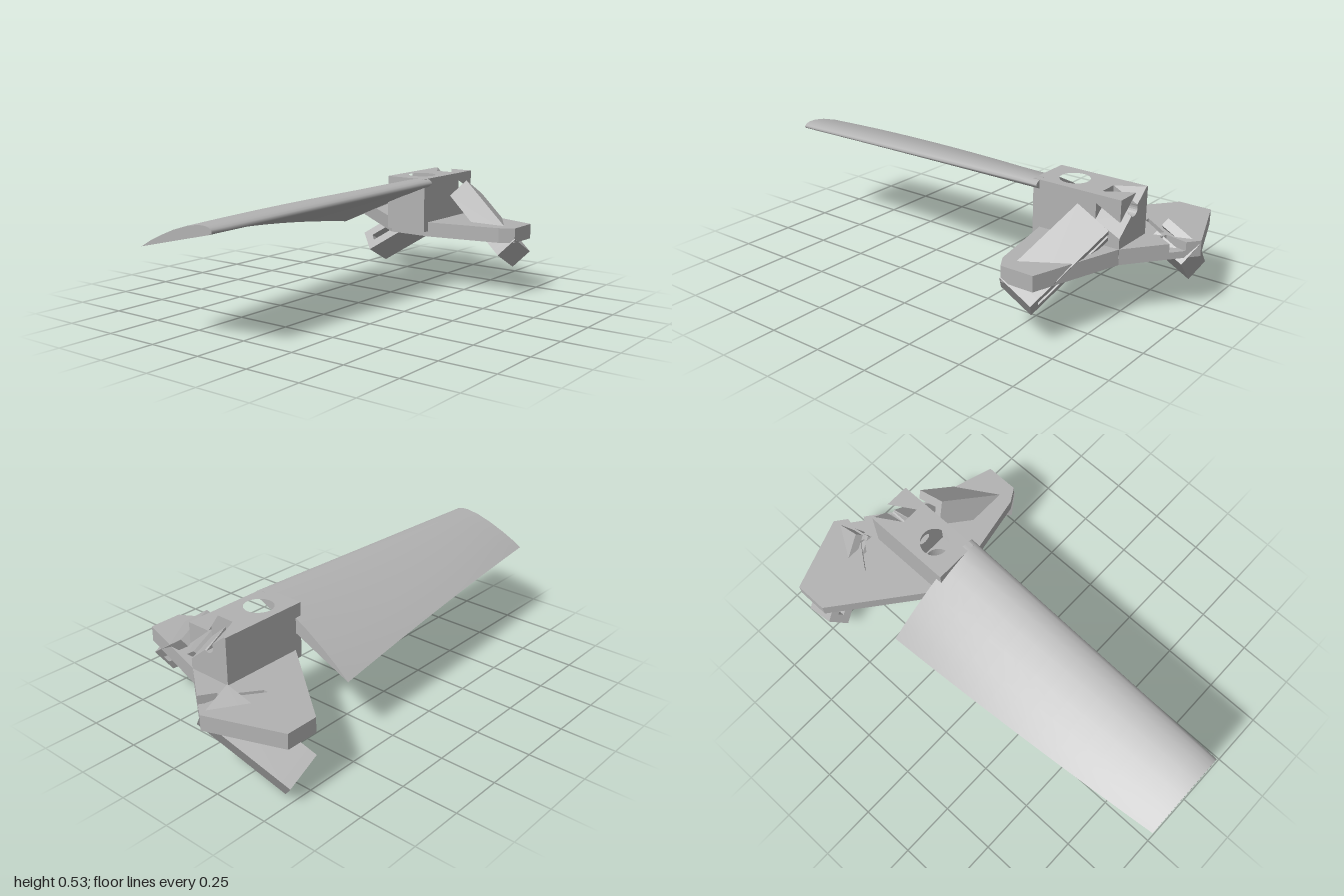
import * as THREE from 'three';

const grey = new THREE.MeshStandardMaterial({ color: 0xb2b2b2 });
grey.name = 'grey plastic';

function mesh(name, geometry) {
  const m = new THREE.Mesh(geometry, grey);
  m.name = name;
  return m;
}

const circle = (cx, cy, r) => new THREE.Path().absarc(cx, cy, r, 0, Math.PI * 2, true);
const outline = (pts) => new THREE.Shape(pts.map(([a, b]) => new THREE.Vector2(a, b)));
const extrude = (shape, depth) =>
  new THREE.ExtrudeGeometry(shape, { depth, bevelEnabled: false, curveSegments: 24 });

// Upright prism from an (x, z) outline
function extrudeY(pts, y0, y1, holes = []) {
  const shape = outline(pts.map(([x, z]) => [x, -z]));
  shape.holes.push(...holes);
  return extrude(shape, y1 - y0).rotateX(-Math.PI / 2).translate(0, y0, 0);
}

// Sideways prism from a (z, y) outline
function extrudeX(pts, x0, x1, holes = []) {
  const shape = outline(pts.map(([z, y]) => [-z, y]));
  shape.holes.push(...holes);
  return extrude(shape, x1 - x0).rotateY(Math.PI / 2).translate(x0, 0, 0);
}

// Aerofoil loop as chord fraction and height, from trailing edge over the nose and back
const foil = [
  [1, 0], [0.85, 0.04], [0.7, 0.068], [0.5, 0.095], [0.3, 0.104], [0.15, 0.09], [0.07, 0.068],
  [0.025, 0.043], [0.005, 0.02], [0, 0], [0.008, -0.013], [0.05, -0.02], [0.3, -0.01], [0.7, -0.002], [1, 0],
];

// Twisted, tapering section; t runs from the root to the tip
function bladeSection(t) {
  const ease = t * (2 - t);
  const lead = new THREE.Vector2(0.125 - 0.03 * t, 0.513 - 0.028 * t);
  const trail = new THREE.Vector2(-0.385 + 0.035 * t + 0.06 * t * t, 0.276 + 0.11 * ease);
  const chord = trail.clone().sub(lead);
  return foil.map(([u, v]) => new THREE.Vector3(
    0.4 - 1.4 * t,
    lead.y + chord.y * u - chord.x * v,
    lead.x + chord.x * u + chord.y * v,
  ));
}

function buildBlade() {
  const group = new THREE.Group();
  group.name = 'blade';
  const rows = 16, n = foil.length, points = [], index = [];
  for (let i = 0; i <= rows; i++) points.push(...bladeSection(i / rows));
  for (let i = 0; i < rows; i++) {
    for (let j = 0; j < n - 1; j++) {
      const a = i * n + j, b = a + n;
      index.push(a, b, a + 1, b, b + 1, a + 1);
    }
  }
  const skin = new THREE.BufferGeometry().setFromPoints(points);
  skin.setIndex(index);
  skin.computeVertexNormals();
  group.add(mesh('bladeSkin', skin));

  // Flat ends
  for (const t of [0, 1]) {
    const cap = new THREE.BufferGeometry().setFromPoints(bladeSection(t));
    const fan = [];
    for (let j = 1; j < n - 2; j++) fan.push(0, ...(t ? [j + 1, j] : [j, j + 1]));
    cap.setIndex(fan);
    cap.computeVertexNormals();
    group.add(mesh(t ? 'bladeTip' : 'bladeRoot', cap));
  }
  return group;
}

// Slanted bar with a slot open at its upper end and on its outer or inner side
function buildArm(name, slotOutward) {
  const W = 0.166, H = 0.108, L = 0.429, wall = 0.04, gap = 0.03;
  const a = (H - gap) / 2, b = a + gap;
  const arm = new THREE.Group();
  arm.name = name;
  const profile = [[0, 0], [W, 0], [W, -a], [wall, -a], [wall, -b], [W, -b], [W, -H], [0, -H]];
  const channel = outline(profile.map(([x, y]) => [slotOutward ? x : W - x, y]));
  arm.add(mesh('armChannel', extrude(channel, L - wall)));
  const end = new THREE.BoxGeometry(W, H, wall).translate(W / 2, -H / 2, L - wall / 2);
  arm.add(mesh('armEnd', end));

  const across = new THREE.Vector3(0.88, -0.475, 0).normalize();
  const along = new THREE.Vector3(-0.287, -0.539, 0.793).normalize();
  const up = along.clone().cross(across).normalize();
  along.crossVectors(across, up);
  arm.quaternion.setFromRotationMatrix(new THREE.Matrix4().makeBasis(across, up, along));
  arm.position.set(0.63, 0.503, 0.172);
  return arm;
}

// Hub block with an upright bore, a cross bore and a slanted slot at the outer end
function buildHub(bore) {
  const hub = new THREE.Group();
  hub.name = 'hub';
  const top = 0.53, bottom = 0.28, front = 0.103, back = -0.103;
  const x0 = 0.575, x1 = 0.672, x2 = 0.785, slope = 0.83, boreY = 0.46, boreR = 0.029;
  const edgeY = (z, zTop) => top - slope * (z - zTop);

  // Skews the slot edge that meets the top at zTop, so the slot runs at an angle
  const skew = (geometry, zTop) => {
    const p = geometry.attributes.position;
    for (let i = 0; i < p.count; i++) {
      const y = p.getY(i), z = p.getZ(i);
      if (p.getX(i) > x1 + 0.01 || Math.abs(y - edgeY(z, zTop)) > 0.002) continue;
      if (y > top - 0.001) p.setZ(i, z + 0.07);
      else p.setY(i, y + 0.056);
    }
    geometry.computeVertexNormals();
    return geometry;
  };

  const inner = [[0.37, back], [x0, back], [x0, front], [0.37, front]];
  hub.add(mesh('hubInner', extrudeY(inner, bottom, top, [bore])));
  const middle = [[front, bottom], [front, top], [back, top], [back, bottom]];
  hub.add(mesh('hubMiddle', extrudeX(middle, x0, x1, [circle(0, boreY, boreR)])));

  // Below the slot, with the open half of the cross bore
  const arc = [];
  for (let i = 0; i <= 10; i++) {
    const angle = THREE.MathUtils.degToRad(-50.7 - 15.8 * i);
    arc.push([boreR * Math.cos(angle), boreY + boreR * Math.sin(angle)]);
  }
  const zLow = -0.093, zHigh = -0.01;
  const outer = [[front, bottom], [front, edgeY(front, zLow)], ...arc, [zLow, top], [back, top], [back, bottom]];
  hub.add(mesh('hubOuter', skew(extrudeX(outer, x1, x2), zLow)));
  // Above the slot
  const corner = [[front, edgeY(front, zHigh)], [front, top], [zHigh, top]];
  hub.add(mesh('hubCorner', skew(extrudeX(corner, x1, x2), zHigh)));
  return hub;
}

export function createModel() {
  const model = new THREE.Group();
  model.name = 'bladeMount';
  model.add(buildBlade());

  // Base plate: solid lower layer, upper layer with a side notch and a slit
  const left = [[0.405, 0.105], [0.47, 0.445], [0.508, 0.508], [0.658, 0.508], [0.785, 0.1]];
  const right = [[1, -0.18], [0.877, -0.512], [0.727, -0.512], [0.405, -0.105]];
  const notch = [[0.916, -0.07], [0.85, -0.111], [0.86, -0.147], [0.96, -0.127]];
  const slit = new THREE.Path([[0.717, -0.255], [0.84, -0.165], [0.83, -0.148], [0.717, -0.232]]
    .map(([x, z]) => new THREE.Vector2(x, -z)));
  const bore = circle(0.505, 0, 0.064);
  model.add(mesh('plateLower', extrudeY([...left, ...right], 0.255, 0.285, [bore])));
  model.add(mesh('plateUpper', extrudeY([...left, ...notch, ...right], 0.285, 0.323, [bore, slit])));
  model.add(buildHub(bore));

  // Front arm, and its mirrored twin set lower and further out
  model.add(buildArm('frontArm', true));
  const rear = new THREE.Group();
  rear.name = 'rearArmMirror';
  rear.scale.z = -1;
  rear.position.set(0.22, -0.118, 0);
  rear.add(buildArm('rearArm', false));
  model.add(rear);

  return model;
}
